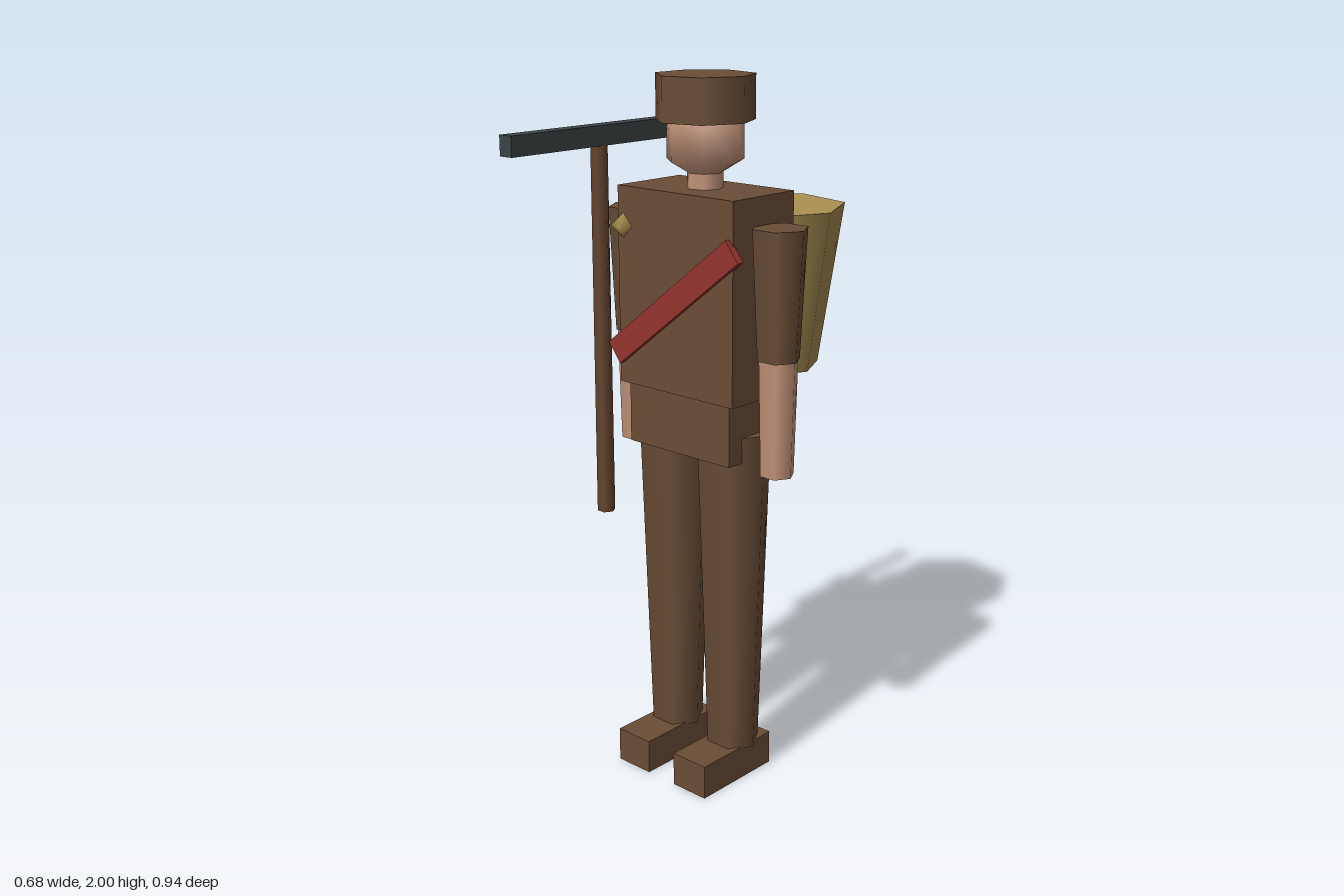
import * as THREE from 'three';

const paint = (name, color) => {
  const m = new THREE.MeshStandardMaterial({ color });
  m.name = name;
  return m;
};

export function createModel() {
  const cloth = paint('brown cloth', 0x6a4d36);
  const skin = paint('skin', 0xc4947a);
  const wicker = paint('straw', 0xab9152);
  const red = paint('red sash', 0x93332e);
  const iron = paint('dark iron', 0x3d4445);
  const wood = paint('wood', 0x65452f);

  const model = new THREE.Group();
  model.name = 'porter';
  const bodyZ = 0.006;

  const add = (name, geometry, material, x, y, z) => {
    const mesh = new THREE.Mesh(geometry, material);
    mesh.name = name;
    mesh.position.set(x, y, z);
    model.add(mesh);
    return mesh;
  };
  const box = (name, mat, w, h, d, x, y, z) =>
    add(name, new THREE.BoxGeometry(w, h, d), mat, x, y, z);
  // Tapered prism from y0 to y1 with one corner pointing along +x
  const taper = (name, mat, rTop, rBottom, sides, y0, y1, x, z) =>
    add(name, new THREE.CylinderGeometry(rTop, rBottom, y1 - y0, sides, 1, false, Math.PI / 2),
      mat, x, (y0 + y1) / 2, z);
  const ball = (name, mat, r, sides, rings, x, y, z) =>
    add(name, new THREE.SphereGeometry(r, sides, rings, Math.PI), mat, x, y, z);

  // Trunk
  box('torso', cloth, 0.416, 0.55, 0.244, 0, 1.427, bodyZ);
  box('pelvis', cloth, 0.37, 0.175, 0.215, 0, 1.066, bodyZ);

  // Head
  taper('neck', skin, 0.05, 0.05, 7, 1.69, 1.78, 0, bodyZ);
  ball('head', skin, 0.123, 7, 3, 0, 1.838, bodyZ);
  taper('hat', cloth, 0.137, 0.137, 7, 1.88, 2, 0, bodyZ);

  // Limbs
  for (const [side, s] of [['left', 1], ['right', -1]]) {
    taper(side + 'Sleeve', cloth, 0.077, 0.06, 6, 1.273, 1.625, s * 0.264, bodyZ);
    taper(side + 'Forearm', skin, 0.056, 0.048, 6, 0.95, 1.275, s * 0.264, bodyZ);
    taper(side + 'Leg', cloth, 0.108, 0.077, 6, 0.095, 1.05, s * 0.11, bodyZ);
    box(side + 'Boot', cloth, 0.12, 0.1, 0.285, s * 0.11, 0.05, 0.053);
  }

  // Sash and badge
  box('sash', red, 0.55, 0.07, 0.022, 0, 1.405, 0.132).rotation.z = 0.665;
  ball('badge', wicker, 0.034, 5, 2, -0.187, 1.595, 0.13);

  // Back basket
  taper('basket', wicker, 0.22, 0.15, 7, 1.165, 1.625, 0, -0.26);

  // Pick
  taper('pickHandle', wood, 0.024, 0.026, 6, 0.755, 1.81, -0.265, 0.14);
  box('pickHead', iron, 0.045, 0.055, 0.66, -0.265, 1.832, 0.14);

  return model;
}
